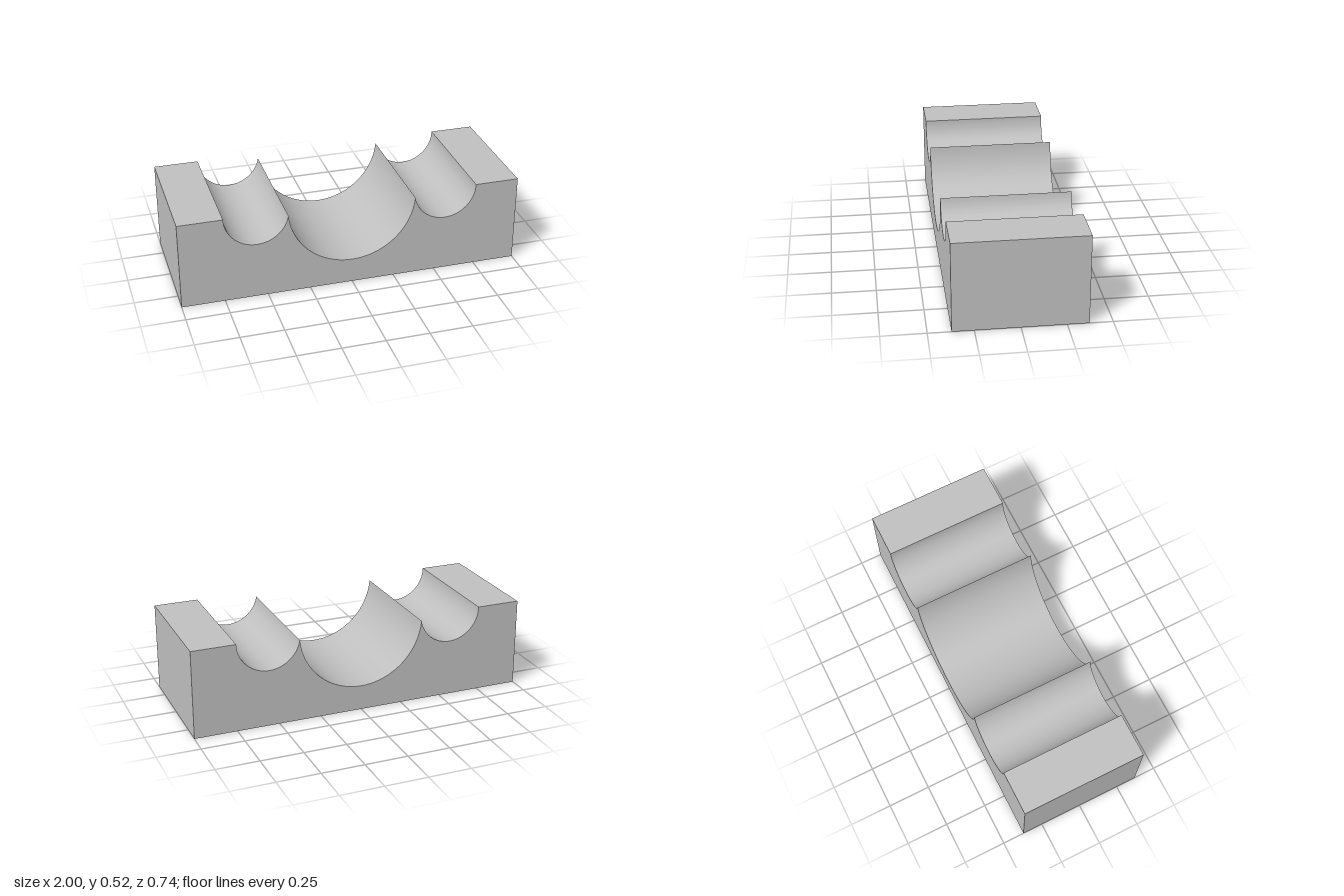
import * as THREE from 'three';
import { toCreasedNormals } from 'three/addons/utils/BufferGeometryUtils.js';

const HEIGHT = 0.522;
const DEPTH = 0.742;
const MID_R = 0.3745; // middle groove radius
const SIDE_R = 0.1855; // side groove radius
const SIDE_X = 0.556; // side groove centre

export function createModel() {
  const group = new THREE.Group();
  group.name = 'grooveBlock';
  const grey = new THREE.MeshStandardMaterial({ color: 0xbfbfbf });
  grey.name = 'grey';

  // Sharp ridge where a side groove meets the middle groove
  const ridgeX = (SIDE_X ** 2 + MID_R ** 2 - SIDE_R ** 2) / (2 * SIDE_X);
  const drop = Math.sqrt(MID_R ** 2 - ridgeX ** 2);
  const sideEnd = Math.atan2(-drop, SIDE_X - ridgeX);
  const midEnd = Math.atan2(-drop, ridgeX);

  // Front profile: block with three round grooves cut into the top
  const profile = new THREE.Shape();
  profile.moveTo(-1, 0);
  profile.lineTo(-1, HEIGHT);
  profile.absarc(-SIDE_X, HEIGHT, SIDE_R, -Math.PI, sideEnd, false);
  profile.absarc(0, HEIGHT, MID_R, -Math.PI - midEnd, midEnd, false);
  profile.absarc(SIDE_X, HEIGHT, SIDE_R, -Math.PI - sideEnd, 0, false);
  profile.lineTo(1, HEIGHT);
  profile.lineTo(1, 0);
  profile.closePath();

  const geometry = new THREE.ExtrudeGeometry(profile, {
    depth: DEPTH, bevelEnabled: false, curveSegments: 32,
  });
  geometry.translate(0, 0, -DEPTH / 2);

  const block = new THREE.Mesh(toCreasedNormals(geometry, 0.5), grey);
  block.name = 'block';
  group.add(block);
  return group;
}
